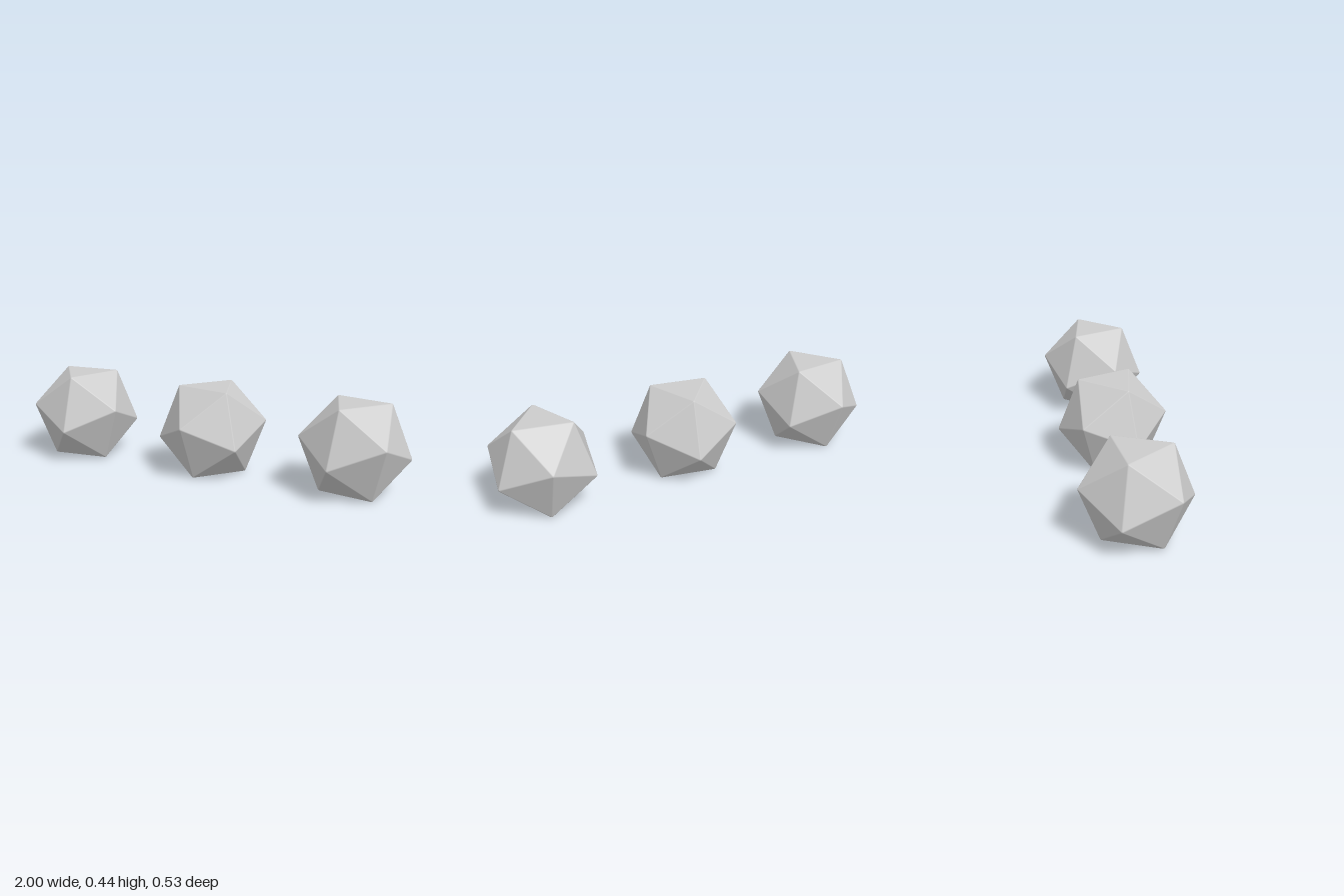
import * as THREE from 'three';

const INRADIUS = 0.2185; // half the height of a die lying on a face
const ROUND = 0.01;      // edge rounding radius
const STEPS = 4;         // segments across each rounded edge

// Icosahedron lying on a face, edges and corners rounded
function roundedDie() {
  const inner = INRADIUS - ROUND;
  const edge = inner / 0.75576;
  const small = edge / Math.sqrt(3);
  const big = small * 1.61803;
  const ringY = inner * 0.23607;

  // Four triangles of corners: top, upper ring, lower ring, bottom
  const corners = [];
  for (const [radius, y, turn] of [[small, inner, 0], [big, ringY, 60], [big, -ringY, 0], [small, -inner, 60]]) {
    for (let i = 0; i < 3; i++) {
      const a = THREE.MathUtils.degToRad(turn + i * 120);
      corners.push(new THREE.Vector3(radius * Math.sin(a), y, radius * Math.cos(a)));
    }
  }

  const positions = [], normals = [];
  // Adds a triangle of [corner, normal] points, turned to face outward
  const triangle = (...points) => {
    const p = points.map(([c, n]) => c.clone().addScaledVector(n, ROUND));
    const facing = p[1].clone().sub(p[0]).cross(p[2].clone().sub(p[0]));
    for (const i of facing.dot(p[0]) > 0 ? [0, 1, 2] : [0, 2, 1]) {
      positions.push(...p[i].toArray());
      normals.push(...points[i][1].toArray());
    }
  };

  // Flat faces: every three corners one edge length apart
  const near = (a, b) => a.distanceTo(b) < edge * 1.1;
  const faces = [];
  corners.forEach((a, i) => corners.slice(i + 1).forEach((b, j) => corners.slice(i + j + 2).forEach((c) => {
    if (!near(a, b) || !near(b, c) || !near(a, c)) return;
    const normal = a.clone().add(b).add(c).normalize();
    faces.push({ points: [a, b, c], normal });
    triangle([a, normal], [b, normal], [c, normal]);
  })));

  // Rounded edges between neighbouring faces, with caps at both corners
  faces.forEach((f, i) => faces.slice(i + 1).forEach((g) => {
    const shared = f.points.filter((p) => g.points.includes(p));
    if (shared.length !== 2) return;
    const [u, v] = shared;
    for (let s = 0; s < STEPS; s++) {
      const n = f.normal.clone().lerp(g.normal, s / STEPS).normalize();
      const m = f.normal.clone().lerp(g.normal, (s + 1) / STEPS).normalize();
      triangle([u, n], [v, n], [v, m]);
      triangle([u, n], [v, m], [u, m]);
      for (const c of shared) triangle([c, c.clone().normalize()], [c, n], [c, m]);
    }
  }));

  const geometry = new THREE.BufferGeometry();
  geometry.setAttribute('position', new THREE.Float32BufferAttribute(positions, 3));
  geometry.setAttribute('normal', new THREE.Float32BufferAttribute(normals, 3));
  return geometry;
}

export function createModel() {
  const group = new THREE.Group();
  group.name = 'threeDice';
  const geometry = roundedDie();
  const material = new THREE.MeshStandardMaterial({ color: 0xcccccc });

  // Name, x position and turn in degrees
  for (const [name, x, turn] of [['rightDie', -0.753, 6.7], ['middleDie', -0.002, 50.7], ['leftDie', 0.749, -9.4]]) {
    const die = new THREE.Mesh(geometry, material);
    die.name = name;
    die.position.set(x, INRADIUS, 0);
    die.rotation.y = THREE.MathUtils.degToRad(turn);
    group.add(die);
  }
  return group;
}
